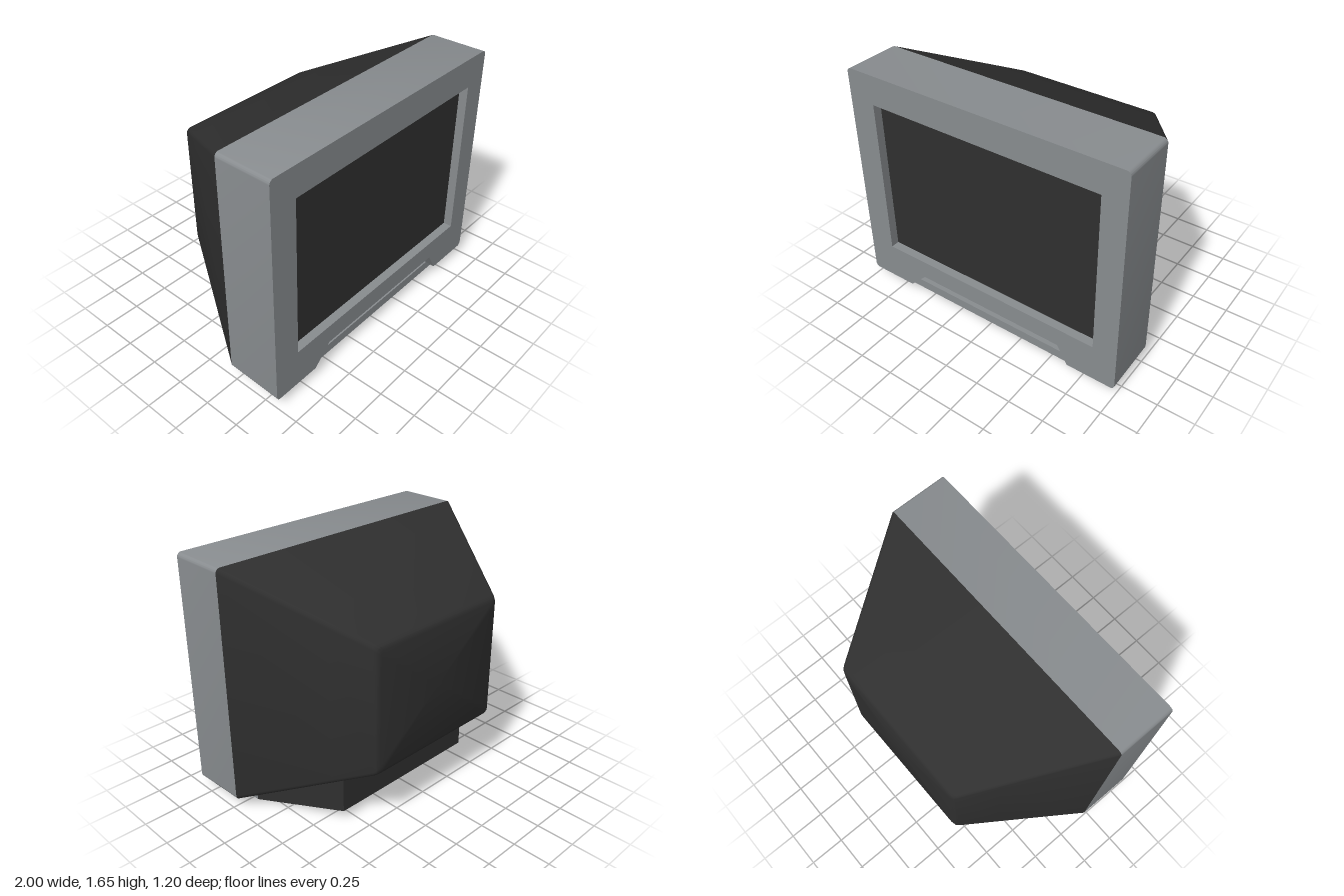
import * as THREE from 'three';
import { toCreasedNormals } from 'three/addons/utils/BufferGeometryUtils.js';

const grey = new THREE.MeshStandardMaterial({ color: 0x888c8f, side: THREE.DoubleSide });
grey.name = 'casing grey';
const dark = new THREE.MeshStandardMaterial({ color: 0x2f2f2f, side: THREE.DoubleSide });
dark.name = 'charcoal';

function add(group, name, geometry, material) {
  const mesh = new THREE.Mesh(geometry, material);
  mesh.name = name;
  group.add(mesh);
  return mesh;
}

function box(group, name, [x0, x1], [y0, y1], [z0, z1], material) {
  const mesh = add(group, name, new THREE.BoxGeometry(x1 - x0, y1 - y0, z1 - z0), material);
  mesh.position.set((x0 + x1) / 2, (y0 + y1) / 2, (z0 + z1) / 2);
}

// Geometry from a list of triangle corners
function surface(points) {
  const g = new THREE.BufferGeometry().setFromPoints(points);
  g.computeVertexNormals();
  return g;
}

// Rounded rectangle loop, anticlockwise from the lower right corner
function ring({ z, hx, y0, y1, r }) {
  const corners = [[hx - r, y0 + r], [hx - r, y1 - r], [r - hx, y1 - r], [r - hx, y0 + r]];
  return corners.flatMap(([x, y], k) => [0, 1, 2, 3].map((s) => {
    const a = (k - 1 + s / 3) * Math.PI / 2;
    return new THREE.Vector3(x + r * Math.cos(a), y + r * Math.sin(a), z);
  }));
}

// Tapered rear shell, open underneath where the foot joins
function housingGeometry() {
  const rings = [
    { z: 0.21, hx: 1, y0: 0.08, y1: 1.655, r: 0.03 },
    { z: -0.35, hx: 0.673, y0: 0.328, y1: 1.397, r: 0.03 },
    { z: -0.57, hx: 0.545, y0: 0.425, y1: 1.295, r: 0.03 },
    { z: -0.59, hx: 0.53, y0: 0.44, y1: 1.28, r: 0.03 },
    { z: -0.6, hx: 0.505, y0: 0.465, y1: 1.255, r: 0.03 },
  ].map(ring);
  const n = rings[0].length;
  const tris = [];
  for (let i = 0; i < rings.length - 1; i++) {
    for (let j = 0; j < n; j++) {
      if (i === 0 && j === n - 1) continue;
      const k = (j + 1) % n;
      const a = rings[i][j], b = rings[i][k], c = rings[i + 1][j], d = rings[i + 1][k];
      tris.push(a, c, b, b, c, d);
    }
  }
  const last = rings[rings.length - 1];
  const centre = new THREE.Vector3(0, 0.86, -0.6);
  for (let j = 0; j < n; j++) tris.push(centre, last[(j + 1) % n], last[j]);
  return toCreasedNormals(surface(tris), 0.6);
}

// Front casing with screen opening and a notch in its lower edge
function bezelGeometry() {
  const b = 0.065, t = 1.655, r = 0.03;
  const s = new THREE.Shape();
  s.moveTo(-1 + r, b);
  s.lineTo(-0.65, b);
  s.lineTo(-0.52, 0.195);
  s.lineTo(0.58, 0.195);
  s.lineTo(0.655, b);
  s.lineTo(1 - r, b);
  s.absarc(1 - r, b + r, r, -Math.PI / 2, 0);
  s.absarc(1 - r, t - r, r, 0, Math.PI / 2);
  s.absarc(-1 + r, t - r, r, Math.PI / 2, Math.PI);
  s.absarc(-1 + r, b + r, r, Math.PI, Math.PI * 1.5);
  const hole = new THREE.Path();
  hole.moveTo(-0.81, 0.33);
  hole.lineTo(-0.81, 1.45);
  hole.lineTo(0.835, 1.45);
  hole.lineTo(0.835, 0.33);
  hole.closePath();
  s.holes.push(hole);
  const g = new THREE.ExtrudeGeometry(s, { depth: 0.39, bevelEnabled: false, curveSegments: 5 });
  g.translate(0, 0, 0.21);
  // Lift the lower edge slightly towards the back
  const p = g.attributes.position;
  for (let i = 0; i < p.count; i++) {
    if (p.getY(i) < 0.1 && p.getZ(i) < 0.3) p.setY(i, p.getY(i) + 0.015);
  }
  return toCreasedNormals(g, 0.6);
}

export function createModel() {
  const model = new THREE.Group();
  model.name = 'monitor';
  add(model, 'bezel', bezelGeometry(), grey);
  box(model, 'screen', [-0.815, 0.84], [0.325, 1.455], [0.532, 0.54], dark);
  add(model, 'rearHousing', housingGeometry(), dark);
  box(model, 'frontFoot', [-0.81, 0.835], [0, 0.065], [0.21, 0.53], grey);

  // Hollow rear foot: floor, back and side walls, and the housing strips beside it
  const v = (x, y, z) => new THREE.Vector3(x, y, z);
  const quad = (a, b, c, d) => [a, b, c, a, c, d];
  const [fl, fr] = [0.835, -0.81].map((x) => [v(x, 0, 0.21), v(x, 0.08, 0.21)]);
  const [bl, br] = [0.58, -0.55].map((x) => [v(x, 0.07, -0.35), v(x, 0.328, -0.35)]);
  add(model, 'rearFoot', surface([
    ...quad(fl[0], fr[0], br[0], bl[0]),
    ...quad(bl[0], br[0], br[1], bl[1]),
    ...quad(fl[0], bl[0], bl[1], fl[1]),
    ...quad(fr[0], fr[1], br[1], br[0]),
  ]), dark);
  add(model, 'undersideStrips', surface([
    ...quad(v(0.97, 0.08, 0.21), fl[1], bl[1], v(0.643, 0.328, -0.35)),
    ...quad(fr[1], v(-0.97, 0.08, 0.21), v(-0.643, 0.328, -0.35), br[1]),
  ]), dark);
  return model;
}
